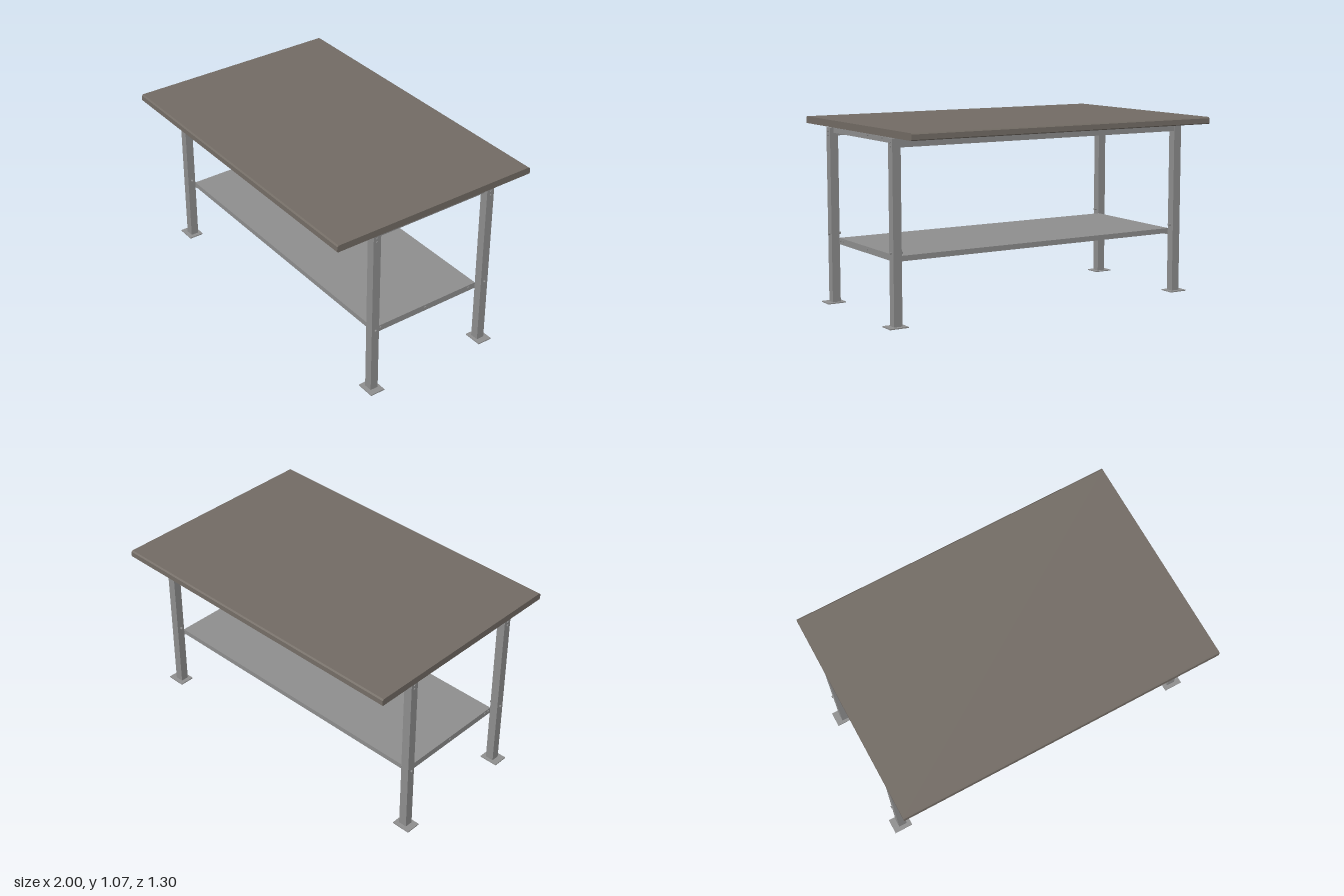
import * as THREE from 'three';

const steel = new THREE.MeshStandardMaterial({ color: 0x8e8e8e });
steel.name = 'grey steel';
const wood = new THREE.MeshStandardMaterial({ color: 0x726b64 });
wood.name = 'brown worktop';

export function createModel() {
  const group = new THREE.Group();
  group.name = 'workbench';

  const add = (name, geometry, material, x, y, z) => {
    const mesh = new THREE.Mesh(geometry, material);
    mesh.name = name;
    mesh.position.set(x, y, z);
    group.add(mesh);
    return mesh;
  };
  // box given by its limits on each axis
  const box = (name, [x0, x1], [y0, y1], [z0, z1], material = steel) =>
    add(name, new THREE.BoxGeometry(x1 - x0, y1 - y0, z1 - z0), material,
      (x0 + x1) / 2, (y0 + y1) / 2, (z0 + z1) / 2);
  // six-sided bolt head whose axis runs along x
  const bolt = (x, y, z, length = 0.01) => {
    const geometry = new THREE.CylinderGeometry(0.007, 0.007, length, 6);
    geometry.rotateZ(Math.PI / 2);
    add('bolt', geometry, steel, x, y, z);
  };

  // worktop: slab with softened front and back edges
  const profile = new THREE.Shape([
    [-0.65, 1.030], [-0.645, 1.025], [0.645, 1.025], [0.65, 1.030],
    [0.648, 1.058], [0.640, 1.065], [-0.640, 1.065], [-0.648, 1.058],
  ].map(([z, y]) => new THREE.Vector2(z, y)));
  const slab = new THREE.ExtrudeGeometry(profile, { depth: 1.956, bevelEnabled: false });
  slab.translate(0, 0, -0.978);
  slab.rotateY(Math.PI / 2);
  add('worktop', slab, wood, 0, 0, 0);

  for (const sx of [-1, 1]) {
    for (const sz of [-1, 1]) {
      // square leg, foot plate and through bolts
      add('leg', new THREE.BoxGeometry(0.05, 1.012, 0.048), steel, sx * 0.938, 0.511, sz * 0.383);
      add('footPlate', new THREE.BoxGeometry(0.112, 0.006, 0.09), steel, sx * 0.944, 0.003, sz * 0.386);
      bolt(sx * 0.967, 0.405, sz * 0.383, 0.012);
      bolt(sx * 0.905, 0.405, sz * 0.383, 0.018);
      bolt(sx * 0.965, 0.975, sz * 0.385, 0.006);
      bolt(sx * 0.965, 0.998, sz * 0.385, 0.006);
    }

    // side rail: angle section under the worktop
    const x = sx * 0.938;
    box('sideRailWeb', [x - 0.004, x + 0.004], [0.988, 1.017], [-0.36, 0.36]);
    const inner = sx * 0.918;
    box('sideRailFlange', [inner - 0.02, inner + 0.02], [1.012, 1.017], [-0.36, 0.36]);
    for (const z of [-0.25, -0.08]) bolt(sx * 0.944, 1.01, z);

    // turned-down end of the shelf
    const end = sx * 0.912;
    box('shelfEndLip', [end - 0.003, end + 0.003], [0.343, 0.38], [-0.358, 0.358]);
    for (const z of [-0.31, 0, 0.31, 0.34]) bolt(sx * 0.917, 0.365, z, 0.006);
  }

  for (const sz of [-1, 1]) {
    // long rail: angle section between the legs
    const z = sz * 0.40;
    box('longRailWeb', [-0.914, 0.914], [0.968, 1.017], [z - 0.004, z + 0.004]);
    const f = sz * 0.382;
    box('longRailFlange', [-0.914, 0.914], [1.012, 1.017], [f - 0.022, f + 0.022]);

    // folded long edge of the shelf
    const lip = sz * 0.355;
    box('shelfLip', [-0.915, 0.915], [0.35, 0.38], [lip - 0.003, lip + 0.003]);
    const r = sz * 0.342;
    box('shelfReturn', [-0.909, 0.909], [0.35, 0.354], [r - 0.014, r + 0.014]);
  }

  // shelf panel
  box('shelfPanel', [-0.915, 0.915], [0.375, 0.38], [-0.358, 0.358]);

  return group;
}
